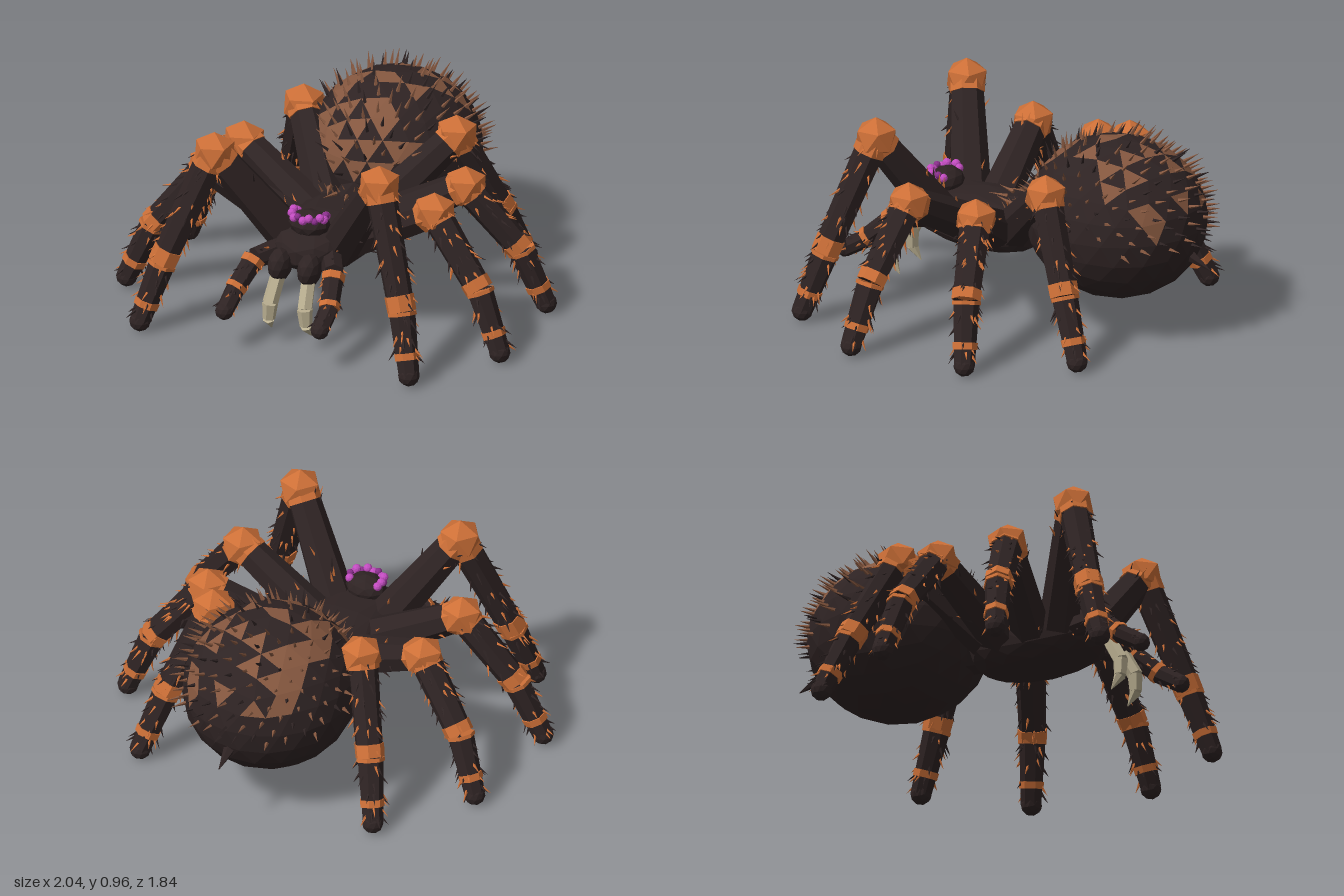
import * as THREE from 'three';
import { mergeGeometries } from 'three/addons/utils/BufferGeometryUtils.js';

const V = (x, y, z) => new THREE.Vector3(x, y, z);
const UP = V(0, 1, 0);

export function createModel() {
  const mat = (name, color) => {
    const m = new THREE.MeshStandardMaterial({ color, flatShading: true });
    m.name = name;
    return m;
  };
  const dark = mat('darkBrown', 0x2e2323);
  const orange = mat('orange', 0xcc6f37);
  const brown = mat('midBrown', 0x85573f);
  const cream = mat('fangCream', 0xb9ae90);
  const purple = mat('eyePurple', 0xc24cc0);
  const plum = mat('eyePlum', 0x8a2f8c);

  const model = new THREE.Group();
  model.name = 'spider';
  let seed = 11;
  const rand = () => (seed = (seed * 16807) % 2147483647) / 2147483647;

  const add = (parent, name, geo, material) => {
    const mesh = new THREE.Mesh(geo, material);
    mesh.name = name;
    parent.add(mesh);
  };
  // Tapered tube from a to b, without an index so it merges with the balls
  const limb = (a, b, ra, rb, sides = 7) => {
    const d = b.clone().sub(a);
    const g = new THREE.CylinderGeometry(rb, ra, d.length(), sides);
    g.applyQuaternion(new THREE.Quaternion().setFromUnitVectors(UP, d.normalize()));
    const c = a.clone().add(b).multiplyScalar(0.5);
    return g.translate(c.x, c.y, c.z).toNonIndexed();
  };
  // Faceted ball with one corner pointing up
  const ball = (p, rx, ry = rx, rz = rx, detail = 1) =>
    new THREE.IcosahedronGeometry(1, detail).rotateZ(0.5536).scale(rx, ry, rz).translate(p.x, p.y, p.z);
  const spike = (p, dir, len, r) =>
    limb(p.clone().addScaledVector(dir, -0.01), p.clone().addScaledVector(dir, len), r, 0.0005, 4);
  // Bristles leaning along a limb
  const bristles = (a, b, ra, rb, count, len) => {
    const axis = b.clone().sub(a).normalize();
    const u = axis.clone().cross(V(0.3, 0.2, 0.9)).normalize();
    const w = axis.clone().cross(u);
    return Array.from({ length: count }, () => {
      const t = 0.05 + 0.9 * rand(), ang = rand() * Math.PI * 2;
      const out = u.clone().multiplyScalar(Math.cos(ang)).addScaledVector(w, Math.sin(ang));
      const p = a.clone().lerp(b, t).addScaledVector(out, (ra + (rb - ra) * t) * 0.93);
      const dir = out.multiplyScalar(0.6).addScaledVector(axis, 0.75).normalize();
      return spike(p, dir, len * (0.6 + 0.6 * rand()), 0.008);
    });
  };

  // Abdomen: faceted egg, scattered brown facets over the back
  const abdomen = new THREE.Group();
  abdomen.name = 'abdomen';
  model.add(abdomen);
  const centre = V(0, 0.54, -0.42), size = V(0.405, 0.378, 0.43);
  const shell = new THREE.IcosahedronGeometry(1, 3).rotateZ(0.5536).getAttribute('position');
  const facets = { plain: [], patch: [] };
  for (let i = 0; i < shell.count; i += 3) {
    const tri = [0, 1, 2].map(k => V().fromBufferAttribute(shell, i + k));
    const mid = tri[0].clone().add(tri[1]).add(tri[2]).divideScalar(3);
    const onBack = mid.y > 0.12 && Math.abs(mid.x) < 0.7;
    const kind = onBack && rand() < 0.5 ? 'patch' : 'plain';
    tri.forEach(v => facets[kind].push(...v.multiply(size).add(centre).toArray()));
  }
  const facetGeo = list => {
    const g = new THREE.BufferGeometry();
    g.setAttribute('position', new THREE.Float32BufferAttribute(list, 3));
    g.computeVertexNormals();
    return g;
  };
  add(abdomen, 'abdomenShell', facetGeo(facets.plain), dark);
  add(abdomen, 'abdomenPatches', facetGeo(facets.patch), brown);
  add(abdomen, 'spinneret', limb(V(0, 0.43, -0.79), V(0, 0.365, -0.915), 0.035, 0.002, 5), dark);

  // Abdomen bristles, swept backwards
  const hairDark = [], hairBrown = [];
  for (let i = 0; i < 210; i++) {
    const y = -0.15 + 1.13 * (i + 0.5) / 210, a = i * 2.39996, r = Math.sqrt(1 - y * y);
    const n = V(Math.cos(a) * r, y, Math.sin(a) * r);
    if (y < 0.05 && n.z > -0.45) continue;
    const dir = n.clone().add(V(0, 0.1, -0.55)).normalize();
    const h = spike(n.multiply(size).add(centre), dir, 0.045 + 0.035 * rand(), 0.01);
    (rand() < 0.35 ? hairDark : hairBrown).push(h);
  }
  add(abdomen, 'abdomenDarkBristles', mergeGeometries(hairDark), dark);
  add(abdomen, 'abdomenBrownBristles', mergeGeometries(hairBrown), brown);

  // Head and chest: boxy rounded shell, narrower and higher at the front
  const chest = new THREE.IcosahedronGeometry(1, 2);
  const cp = chest.getAttribute('position');
  const boxy = v => Math.sign(v) * Math.abs(v) ** 0.72;
  for (let i = 0; i < cp.count; i++) {
    const z = boxy(cp.getZ(i)), front = Math.max(z, 0);
    const y = boxy(cp.getY(i)) * (0.13 - 0.025 * front) + 0.02 * front;
    cp.setXYZ(i, boxy(cp.getX(i)) * (0.2 - 0.025 * front), 0.395 + y, 0.29 + z * 0.345);
  }
  chest.computeVertexNormals();
  add(model, 'chest', chest, dark);
  add(model, 'waist', limb(V(0, 0.42, 0.14), V(0, 0.44, -0.12), 0.1, 0.12), dark);
  const tuft = [];
  for (let i = 0; i < 14; i++) {
    const s = i % 2 ? 1 : -1, k = Math.floor(i / 2);
    tuft.push(spike(V(s * (0.02 + 0.02 * k), 0.5, 0.05 + 0.02 * (k % 3)),
      V(s * 0.2, 0.7, 0.3).normalize(), 0.055, 0.009));
  }
  for (const s of [1, -1]) {
    tuft.push(spike(V(s * 0.09, 0.525, 0.08), V(-s * 0.35, 0.1, 1).normalize(), 0.11, 0.013));
    tuft.push(spike(V(s * 0.03, 0.535, 0.15), V(s * 0.3, 0.1, 1).normalize(), 0.08, 0.01));
  }
  add(model, 'chestTuft', mergeGeometries(tuft), brown);

  // Eye mound with a ring of large and small eyes
  add(model, 'eyeMound', ball(V(0, 0.535, 0.48), 0.1, 0.065, 0.08), dark);
  const bigEyes = [], smallEyes = [];
  for (let i = 0; i < 13; i++) {
    const a = -0.5 + (i / 12) * (Math.PI + 1);
    const p = V(Math.cos(a) * 0.083, 0.573 + 0.014 * (i % 2), 0.485 + Math.sin(a) * 0.064);
    if (i % 3 === 1) smallEyes.push(ball(p, 0.017));
    else bigEyes.push(ball(p, 0.021));
  }
  add(model, 'largeEyes', mergeGeometries(bigEyes), purple);
  add(model, 'smallEyes', mergeGeometries(smallEyes), plum);

  // A jointed limb: path points and radii, with orange bands and bristles
  const buildLimb = (name, pts, radii, bands, hairCount, hairLen) => {
    const g = new THREE.Group();
    g.name = name;
    model.add(g);
    const core = [], bandGeo = [], hairs = [];
    for (let i = 0; i < pts.length - 1; i++) {
      core.push(limb(pts[i], pts[i + 1], radii[i], radii[i + 1]));
      hairs.push(...bristles(pts[i], pts[i + 1], radii[i], radii[i + 1], hairCount[i], hairLen));
    }
    const last = pts.length - 1;
    core.push(ball(pts[last], radii[last] * 1.02));
    for (const [seg, t0, t1] of bands) {
      const rAt = t => radii[seg] + (radii[seg + 1] - radii[seg]) * t + 0.006;
      const at = t => pts[seg].clone().lerp(pts[seg + 1], t);
      bandGeo.push(limb(at(t0), at(t1), rAt(t0), rAt(t1)));
    }
    add(g, 'segments', mergeGeometries(core), dark);
    add(g, 'bands', mergeGeometries(bandGeo), orange);
    add(g, 'darkBristles', mergeGeometries(hairs.filter((h, i) => i % 2)), dark);
    add(g, 'orangeBristles', mergeGeometries(hairs.filter((h, i) => !(i % 2))), orange);
    return g;
  };

  // Legs, front to back: hip, knee, ankle, foot
  const legs = [
    [V(0.12, 0.41, 0.42), V(0.42, 0.865, 0.612), V(0.61, 0.33, 0.77), V(0.685, 0.055, 0.85)],
    [V(0.12, 0.4, 0.29), V(0.575, 0.65, 0.35), V(0.83, 0.33, 0.405), V(0.95, 0.055, 0.44)],
    [V(0.12, 0.4, 0.14), V(0.565, 0.635, 0), V(0.805, 0.33, -0.085), V(0.91, 0.055, -0.135)],
    [V(0.11, 0.42, 0.06), V(0.39, 0.745, -0.268), V(0.535, 0.33, -0.45), V(0.61, 0.055, -0.56)],
  ];
  for (const s of [1, -1]) {
    const side = s > 0 ? 'left' : 'right';
    const m = v => V(v.x * s, v.y, v.z);
    legs.forEach((leg, i) => {
      const pts = leg.map(m);
      const g = buildLimb(`${side}Leg${i + 1}`, pts, [0.098, 0.074, 0.063, 0.049],
        [[0, 0.88, 0.99], [1, 0.01, 0.14], [1, 0.87, 1], [2, 0, 0.06], [2, 0.64, 0.75]], [8, 40, 26], 0.045);
      add(g, 'knee', ball(pts[1], 0.104, 0.1, 0.104, 0), orange);
    });

    // Feelers beside the jaws
    buildLimb(`${side}Feeler`, [V(0.12, 0.4, 0.5), V(0.2, 0.385, 0.64), V(0.24, 0.27, 0.77), V(0.243, 0.205, 0.875)].map(m),
      [0.055, 0.05, 0.045, 0.042], [[1, 0.02, 0.22], [1, 0.85, 1]], [4, 14, 12], 0.03);

    // Jaws and curved fangs
    add(model, `${side}Jaw`, ball(m(V(0.075, 0.375, 0.635)), 0.055, 0.08, 0.075), dark);
    const f = [V(0.078, 0.32, 0.655), V(0.088, 0.21, 0.712), V(0.095, 0.13, 0.712), V(0.1, 0.065, 0.67)].map(m);
    const r = [0.036, 0.037, 0.03, 0.002];
    add(model, `${side}Fang`, mergeGeometries([0, 1, 2].map(i => limb(f[i], f[i + 1], r[i], r[i + 1], 6))), cream);
  }
  return model;
}
